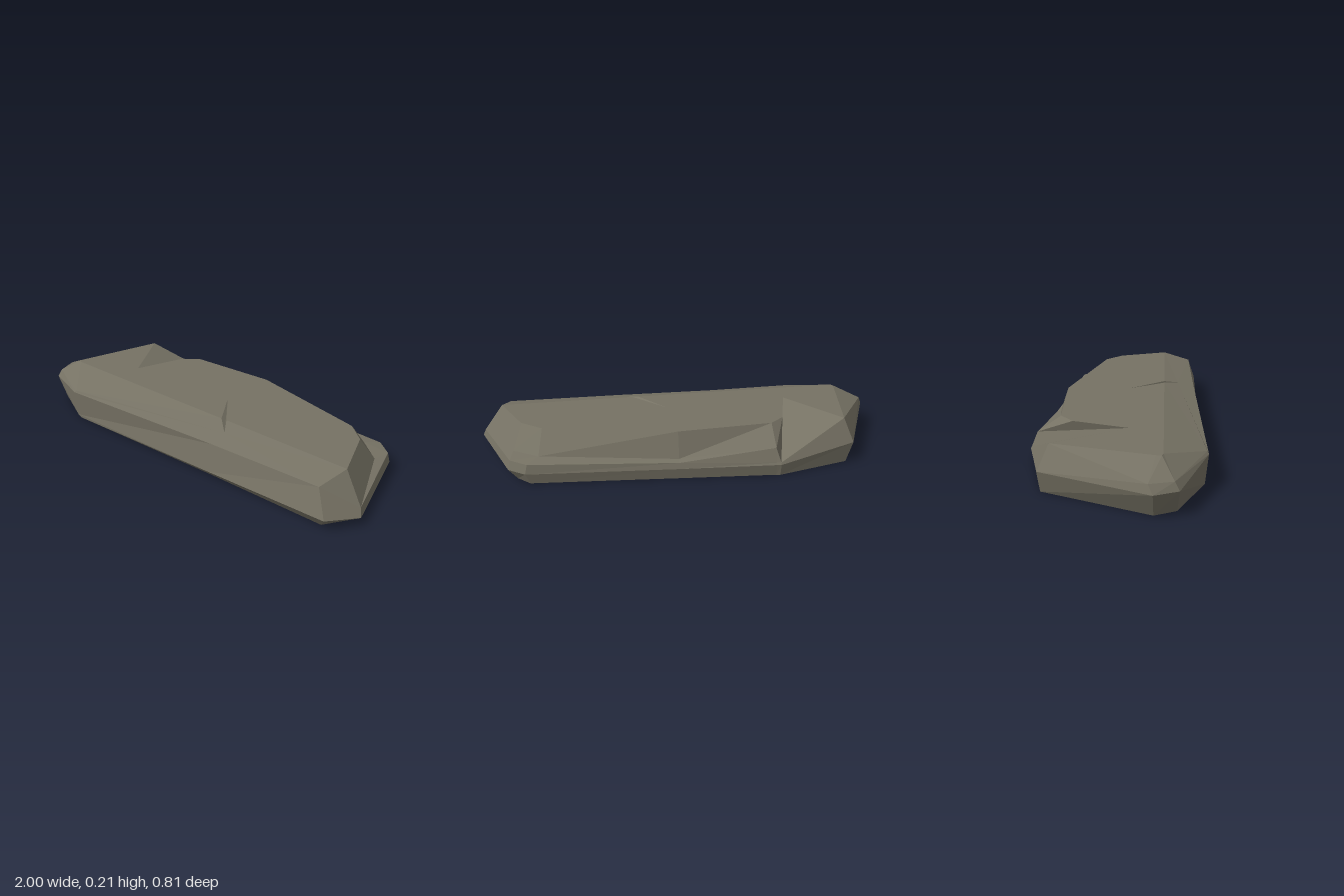
import * as THREE from 'three';

// Each station is a vertical section: bottom, lower edge, rim, ledge, top.
const P = (x, y, z) => new THREE.Vector3(x, y, z);

function makeStations() {
  const rightTip = [P(0.92, 0, 0.17), P(1, 0.04, 0.175), P(0.985, 0.075, 0.16), P(0.985, 0.075, 0.16), P(0.89, 0.21, 0.14)];
  const frontRight = [P(0.88, 0, 0.28), P(0.92, 0.055, 0.32), P(0.86, 0.175, 0.285), P(0.86, 0.175, 0.285), P(0.89, 0.21, 0.14)];
  const frontLeft = [P(-0.62, 0, 0.385), P(-0.64, 0.012, 0.387), P(-0.64, 0.145, 0.4), P(-0.63, 0.155, 0.393), P(-0.82, 0.21, 0.22)];
  const leftFront = [P(-0.89, 0, 0.28), P(-0.95, 0.11, 0.29), P(-0.94, 0.145, 0.27), P(-0.94, 0.145, 0.27), P(-0.84, 0.21, 0.215)];
  const leftTip = [P(-0.94, 0, 0.19), P(-1, 0.11, 0.19), P(-0.98, 0.148, 0.17), P(-0.98, 0.148, 0.17), P(-0.84, 0.21, 0.19)];
  const backLeft = [P(-0.76, 0, -0.29), P(-0.79, 0.1, -0.295), P(-0.75, 0.21, -0.25), P(-0.75, 0.21, -0.25), P(-0.75, 0.21, -0.25)];

  // Gouge cut into the front of the top face
  const gougeFoot = [P(0.29, 0, 0.315), P(0.29, 0.033, 0.347), P(0.29, 0.167, 0.325)];
  const gouge = [
    [...gougeFoot, P(0.29, 0.19, 0.24), P(0.235, 0.21, 0.17)],
    [...gougeFoot, P(0.215, 0.165, 0.165), P(0.08, 0.21, 0)],
    [...gougeFoot, P(0.29, 0.19, 0.24), P(0.205, 0.21, 0.172)],
  ];

  // Gully running in from the back edge
  const step = [P(-0.39, 0, -0.392), P(-0.39, 0.055, -0.403), P(-0.39, 0.065, -0.398), P(-0.39, 0.13, -0.375)];
  const gully = [
    [P(-0.41, 0, -0.395), P(-0.41, 0.055, -0.405), P(-0.41, 0.065, -0.4), P(-0.41, 0.065, -0.4), P(-0.53, 0.21, 0.06)],
    [...step, P(-0.46, 0.21, -0.2)],
    [...step, P(-0.39, 0.21, -0.265)],
  ];

  // Back edge and its low shelf
  const back = [
    [P(0.06, 0, -0.368), P(0.06, 0.052, -0.379), P(0.06, 0.08, -0.372), P(0.06, 0.09, -0.35), P(0.06, 0.21, -0.31)],
    [P(0.74, 0, -0.33), P(0.76, 0.05, -0.34), P(0.75, 0.095, -0.335), P(0.7, 0.105, -0.27), P(0.68, 0.21, -0.19)],
    [P(0.8, 0, -0.27), P(0.84, 0.05, -0.28), P(0.83, 0.095, -0.275), P(0.82, 0.1, -0.18), P(0.78, 0.21, -0.11)],
  ];
  return [rightTip, frontRight, ...gouge, frontLeft, leftFront, leftTip, backLeft, ...gully, ...back];
}

function geometryFrom(triangles) {
  const points = triangles.filter(([a, b, c]) =>
    b.clone().sub(a).cross(c.clone().sub(a)).length() > 1e-7).flat();
  const geometry = new THREE.BufferGeometry().setFromPoints(points);
  geometry.computeVertexNormals();
  return geometry;
}

// Fill one closed ring, facing up (+1) or down (-1)
function cap(ring, facing) {
  const pts = ring.filter((p, i) => p.distanceTo(ring[(i + 1) % ring.length]) > 1e-5);
  const flat = pts.map((p) => new THREE.Vector2(p.x, p.z));
  return THREE.ShapeUtils.triangulateShape(flat, []).map((face) => {
    const [a, b, c] = face.map((i) => pts[i]);
    const up = b.clone().sub(a).cross(c.clone().sub(a)).y;
    return up * facing > 0 ? [a, b, c] : [a, c, b];
  });
}

export function createModel() {
  const group = new THREE.Group();
  group.name = 'flatRock';
  const stone = new THREE.MeshStandardMaterial({ color: 0x767264, flatShading: true });
  stone.name = 'stone';

  const stations = makeStations();
  const sides = [];
  stations.forEach((here, i) => {
    const next = stations[(i + 1) % stations.length];
    for (let r = 0; r < 4; r++) {
      sides.push([here[r], here[r + 1], next[r]], [here[r + 1], next[r + 1], next[r]]);
    }
  });

  const add = (name, triangles) => {
    const mesh = new THREE.Mesh(geometryFrom(triangles), stone);
    mesh.name = name;
    group.add(mesh);
  };
  add('rockSides', sides);
  add('rockTop', cap(stations.map((s) => s[4]), 1));
  add('rockBase', cap(stations.map((s) => s[0]), -1));
  return group;
}
